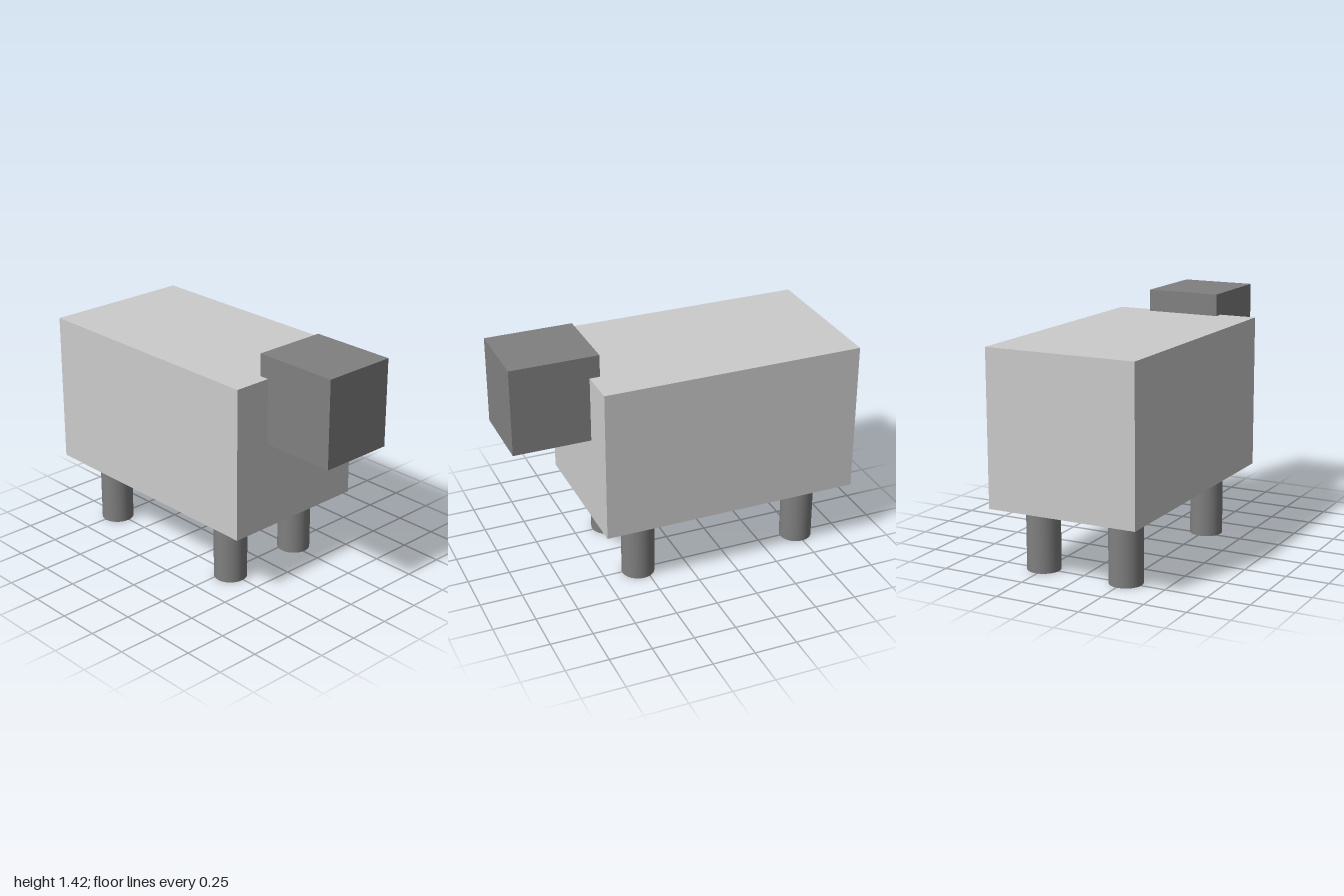
import * as THREE from 'three';

export function createModel() {
  const group = new THREE.Group();
  const light = new THREE.MeshStandardMaterial({ color: 0xcccccc });
  const dark = new THREE.MeshStandardMaterial({ color: 0x808080 });

  const add = (name, geometry, material, x, y, z) => {
    const mesh = new THREE.Mesh(geometry, material);
    mesh.name = name;
    mesh.position.set(x, y, z);
    group.add(mesh);
  };

  // Boxy body with the head overlapping its +x end
  add('body', new THREE.BoxGeometry(1.545, 0.9, 0.9), light, -0.2275, 0.84, 0);
  add('head', new THREE.BoxGeometry(0.515, 0.515, 0.447), dark, 0.7425, 1.1625, 0);

  // Four round legs, ending at the underside of the body
  const legHeight = 0.39;
  const legGeometry = new THREE.CylinderGeometry(0.097, 0.097, legHeight, 32);
  for (const [end, x] of [['front', 0.29], ['rear', -0.743]]) {
    for (const [side, z] of [['Right', 0.26], ['Left', -0.26]]) {
      add(`${end}${side}Leg`, legGeometry, dark, x, legHeight / 2, z);
    }
  }

  return group;
}
